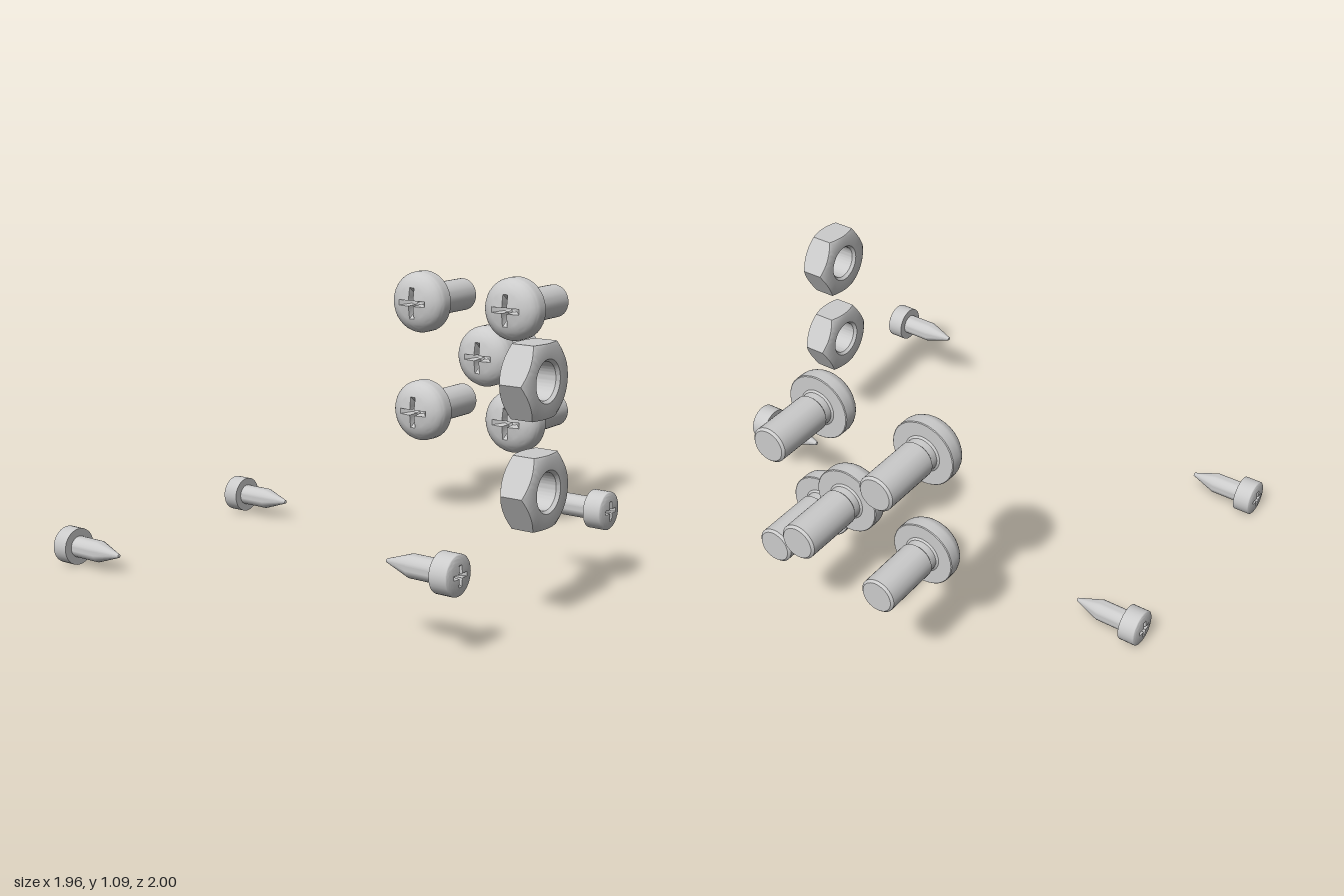
import * as THREE from 'three';
import { toCreasedNormals } from 'three/addons/utils/BufferGeometryUtils.js';

const metal = new THREE.MeshStandardMaterial({ color: 0xcccccc });

// Surface around the z axis: each row gives [radius, z] for an angle
function skin(angles, rows, closed = false) {
  const pos = [], index = [], n = angles.length;
  const radii = [];
  for (const row of rows) {
    for (const a of angles) {
      const [r, z] = row(a);
      radii.push(r);
      pos.push(r * Math.cos(a), r * Math.sin(a), z);
    }
  }
  const last = closed ? rows.length : rows.length - 1;
  for (let i = 0; i < last; i++) {
    for (let j = 0; j < n; j++) {
      const k = (j + 1) % n, next = ((i + 1) % rows.length) * n;
      const a = i * n + j, b = next + j, c = next + k, d = i * n + k;
      if (radii[b] > 0) index.push(a, b, c);
      if (radii[a] > 0) index.push(a, c, d);
    }
  }
  const geo = new THREE.BufferGeometry();
  geo.setAttribute('position', new THREE.Float32BufferAttribute(pos, 3));
  geo.setIndex(index);
  return toCreasedNormals(geo, 0.6);
}

// Distance from the centre to the edge of a cross, arm length L and half width w
function crossRadius(a, L, w) {
  const q = Math.PI / 2, p = Math.abs(a - Math.round(a / q) * q);
  return p <= Math.atan2(w, L) + 1e-6 ? L / Math.cos(p) : w / Math.sin(p);
}

// Screw facing +z: domed head with cross recess, then the shank along -z
function screwGeometry({ R, domeH, power, L, w, depth, shank }) {
  const corner = Math.atan2(w, L), angles = [];
  for (let q = 0; q < 4; q++) {
    for (const p of [-Math.PI / 4, -0.6, -0.42, -corner, 0, corner, 0.42, 0.6]) {
      angles.push(q * Math.PI / 2 + p);
    }
  }
  const dome = r => -domeH * (1 - Math.sqrt(Math.max(0, 1 - (r / R) ** power)));
  const rows = [
    () => [0, -depth],
    a => [crossRadius(a, L * 0.45, w * 0.75), -depth * 0.85],
    a => { const r = crossRadius(a, L, w); return [r, dome(r)]; },
  ];
  const start = Math.asin(L * 1.06 / R);
  for (let i = 0; i <= 10; i++) {
    const r = R * Math.sin(start + (Math.PI / 2 - start) * i / 10);
    rows.push(() => [r, dome(r)]);
  }
  for (const p of shank) rows.push(() => p);
  return skin(angles, rows);
}

// Hex nut along z with chamfered corners and a countersunk hole
function nutGeometry(flat, half, hole) {
  const angles = [];
  for (let i = 0; i < 72; i++) angles.push(i * Math.PI / 36);
  const hex = a => {
    const s = Math.PI / 3;
    return flat / Math.cos(a - (Math.floor(a / s + 1e-6) + 0.5) * s);
  };
  const edge = a => half - 0.002 - (hex(a) - flat) * 0.65;
  const rim = flat * 0.975;
  return skin(angles, [
    () => [hole, half - 0.012],
    () => [hole + 0.01, half],
    () => [rim, half],
    a => [hex(a), edge(a)],
    a => [hex(a), -edge(a)],
    () => [rim, -half],
    () => [hole + 0.01, -half],
    () => [hole, -half + 0.012],
  ], true);
}

export function createModel() {
  const model = new THREE.Group();
  const add = (geo, name, x, y, z, turn = 0) => {
    const mesh = new THREE.Mesh(geo, metal);
    mesh.name = name;
    mesh.position.set(x, y, z);
    mesh.rotation.y = turn;
    model.add(mesh);
  };

  // Five machine screws facing the front
  const machine = screwGeometry({
    R: 0.134, domeH: 0.075, power: 2.5, L: 0.068, w: 0.012, depth: 0.06,
    shank: [[0.134, -0.112], [0.131, -0.115], [0.075, -0.115], [0.067, -0.121], [0.066, -0.15],
      [0.072, -0.156], [0.072, -0.396], [0.063, -0.405], [0, -0.405]],
  });
  for (const [x, y, z] of [[-0.27, 0.955, -0.447], [0.21, 0.963, -0.447], [-0.026, 0.72, -0.595],
    [-0.265, 0.474, -0.45], [0.217, 0.484, -0.45]]) {
    add(machine, 'machineScrew', x, y, z);
  }

  // Four pointed screws, heads facing outwards on both sides
  const pointed = screwGeometry({
    R: 0.074, domeH: 0.013, power: 2, L: 0.038, w: 0.008, depth: 0.035,
    shank: [[0.074, -0.08], [0.043, -0.08], [0.043, -0.2], [0.007, -0.306], [0, -0.309]],
  });
  for (const [z, low, high] of [[0.925, 0.077, 0.297], [-0.074, 0.086, 0.304]]) {
    add(pointed, 'pointedScrewRight', -0.982, low, z, -Math.PI / 2);
    add(pointed, 'pointedScrewLeft', 0.947, high, z, Math.PI / 2);
  }

  // Two hex nuts stacked on the left
  const nut = nutGeometry(0.133, 0.059, 0.069);
  add(nut, 'upperNut', 0.909, 0.881, 0.431, Math.PI / 2);
  add(nut, 'lowerNut', 0.918, 0.487, 0.429, Math.PI / 2);

  return model;
}
